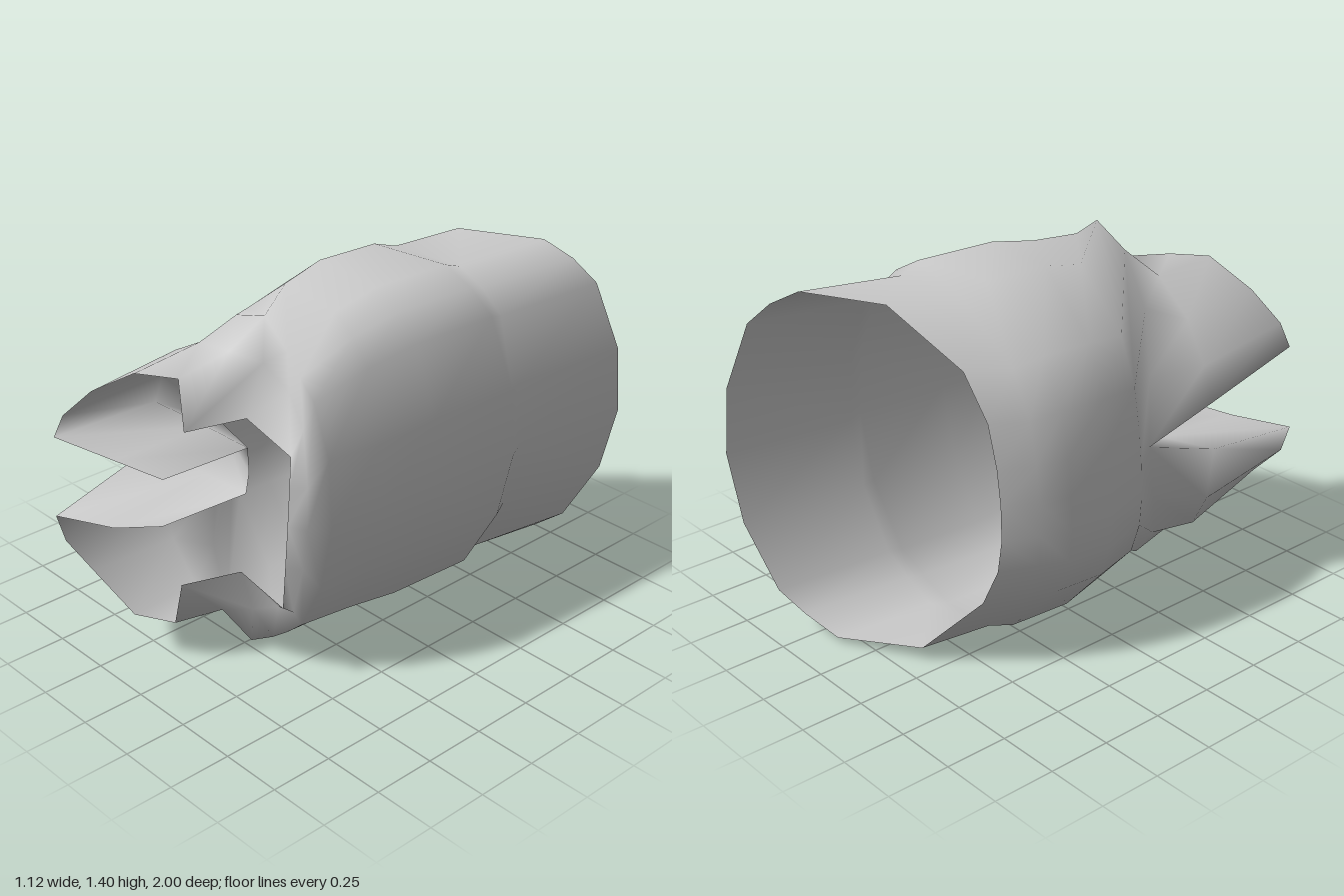
import * as THREE from 'three';
import { mergeVertices } from 'three/addons/utils/BufferGeometryUtils.js';

const MID = 0.705;

// Point at height dy from the middle (side = 1 upper, -1 lower), with the sleeve's slight sideways skew
const place = (side, [x, dy, z, lift = 0]) => [x + 0.085 * dy * side, MID + lift + dy * side, z];

// Halves of the sleeve's cross-section, from right to left
const upperProfile = [
  [1, 0], [0.93, 0.385], [0.71, 0.77], [0.52, 0.9], [0.3, 0.99],
  [-0.32, 0.99], [-0.81, 0.7], [-0.95, 0.44], [-0.99, 0.2], [-1, 0],
];
const lowerProfile = [
  [1, 0], [0.93, 0.4], [0.71, 0.77], [0.52, 0.88], [0.28, 0.985],
  [-0.36, 0.93], [-0.83, 0.58], [-0.95, 0.38], [-0.99, 0.2], [-1, 0],
];

// Tilted rings from the back rim forwards: xLeft, zLeft, xRight, zRight, zMiddle, half height
const rings = [
  [-0.44, -0.50, 0.555, -1.00, -0.755, 0.69],
  [-0.51, -0.38, 0.50, -0.47, -0.41, 0.67],
  [-0.545, -0.26, 0.535, -0.40, -0.31, 0.705],
  [-0.56, -0.08, 0.515, 0.00, -0.01, 0.705],
  [-0.53, 0.10, 0.497, 0.25, 0.18, 0.665],
];

// Upper half of the front rows: flared lip, shoulder, then the cut edge (right side, notch, prong)
const lip = [
  [0.465, 0, 0.47], [0.44, 0.27, 0.48], [0.36, 0.47, 0.49], [0.285, 0.54, 0.49], [0.2, 0.61, 0.48],
  [0.065, 0.7, 0.47], [-0.12, 0.635, 0.44], [-0.29, 0.46, 0.375], [-0.39, 0.24, 0.29], [-0.44, 0, 0.23],
];
const shoulder = [
  [0.425, 0, 0.55], [0.415, 0.17, 0.55], [0.355, 0.385, 0.53, -0.01], [0.22, 0.46, 0.48], [0.09, 0.53, 0.49],
  [-0.02, 0.56, 0.55], [-0.2, 0.53, 0.54], [-0.39, 0.42, 0.5], [-0.49, 0.27, 0.48], [-0.53, 0.095, 0.48, 0.045],
];
const frontEdge = [
  [0.355, 0, 0.58], [0.353, 0.16, 0.58, -0.015], [0.35, 0.32, 0.58, -0.035], [0.075, 0.33, 0.545, -0.01],
  [0.01, 0.325, 0.775, -0.005], [-0.025, 0.52, 0.775], [-0.155, 0.515, 0.865, 0.01],
  [-0.32, 0.385, 0.93, 0.03], [-0.425, 0.27, 0.98, 0.025], [-0.455, 0.17, 1, 0.03],
];

// Facing sides of the prongs: line at the bottom of the fork, line along the prong's edge
const webBack = [shoulder[9], [-0.26, 0.105, 0.45, 0.02], [-0.055, 0.1, 0.42]];
const webFront = [frontEdge[9], [-0.23, 0.145, 0.9, 0.01], [-0.075, 0.1, 0.8]];

function ringRow([xl, zl, xr, zr, zm, ry], profile) {
  return profile.map(([c, s]) => [
    (xl + xr) / 2 + ((xr - xl) / 2) * c,
    ry * s,
    zm + ((zr - zl) / 2) * c + ((zr + zl) / 2 - zm) * c * c,
  ]);
}

// Triangles of a strip grid; the lower half is mirrored, so its corners are reversed
function gridFaces(rows, side) {
  const grid = rows.map((row) => row.map((p) => place(side, p)));
  const faces = [];
  for (let i = 0; i < grid.length - 1; i++) {
    for (let j = 0; j < grid[i].length - 1; j++) {
      const a = grid[i][j], b = grid[i][j + 1], c = grid[i + 1][j], d = grid[i + 1][j + 1];
      faces.push([a, b, c], [b, d, c]);
    }
  }
  return side > 0 ? faces : faces.map((t) => t.reverse());
}

export function createModel() {
  const faces = [];

  // Sleeve and prongs with their webs, upper and lower half
  for (const side of [1, -1]) {
    const profile = side > 0 ? upperProfile : lowerProfile;
    faces.push(...gridFaces([...rings.map((r) => ringRow(r, profile)), lip, shoulder, frontEdge], side));
    faces.push(...gridFaces([webBack, webFront], side));
  }

  // Wall at the bottom of the fork, fanned out from the pinched left side
  const root = place(1, lip[9]);
  const border = [
    ...webBack.map((p) => place(-1, p)),
    place(1, [-0.042, 0, 0.42]),
    ...webBack.map((p) => place(1, p)).reverse(),
  ];
  faces.push(...border.slice(1).map((p, i) => [root, border[i], p]));

  // One welded skin, so the shading runs smoothly from sleeve to prongs
  const soup = new THREE.BufferGeometry();
  soup.setAttribute('position', new THREE.Float32BufferAttribute(faces.flat(2), 3));
  const skin = mergeVertices(soup, 1e-4);
  skin.computeVertexNormals();
  const sleeve = new THREE.Mesh(
    skin, new THREE.MeshStandardMaterial({ color: 0xcccccc, side: THREE.DoubleSide }));
  sleeve.name = 'forkedSleeve';

  const group = new THREE.Group();
  group.add(sleeve);
  return group;
}
